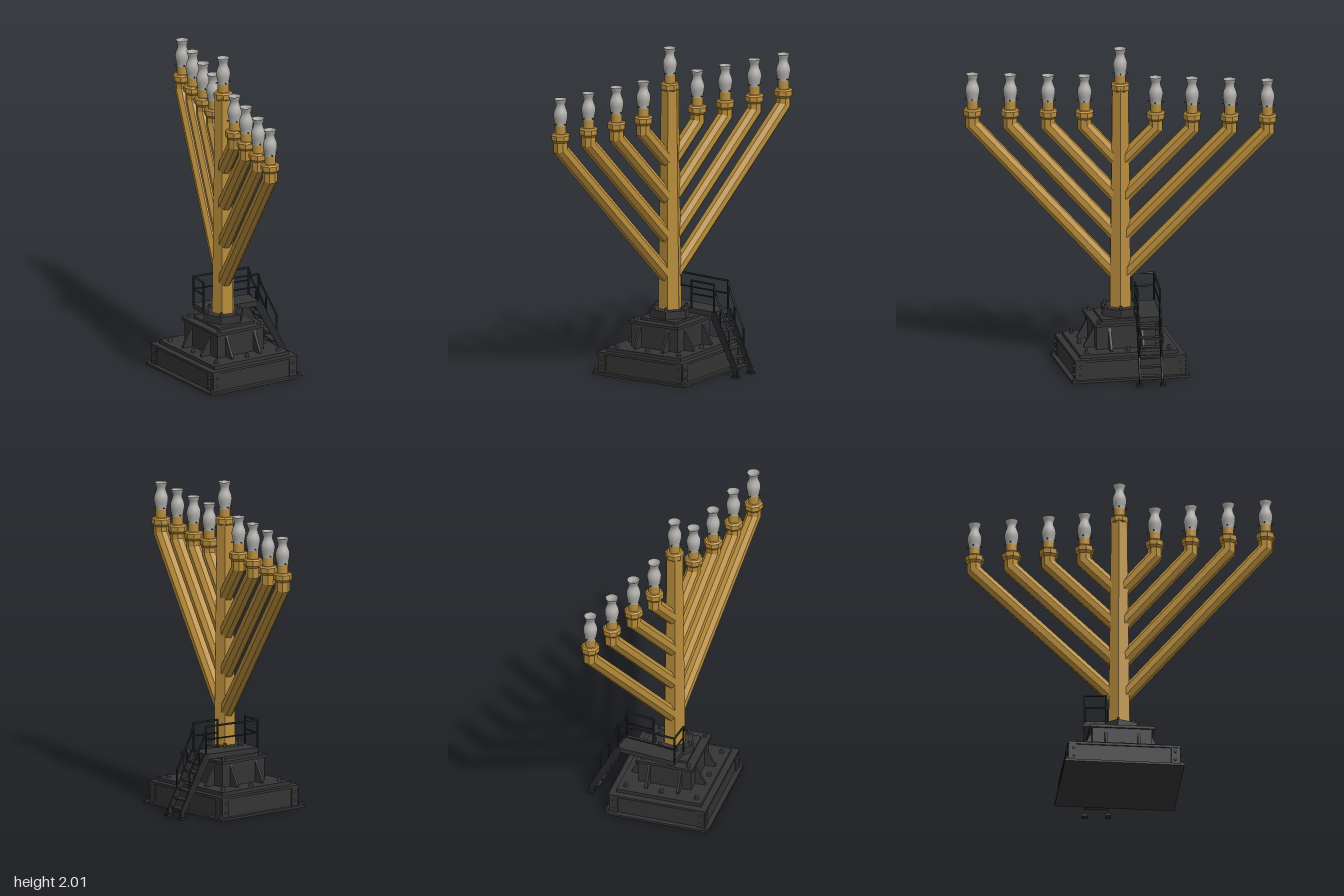
import * as THREE from 'three';

const mat = (name, color, side = THREE.FrontSide) => {
  const m = new THREE.MeshStandardMaterial({ color, side });
  m.name = name;
  return m;
};
const GOLD = mat('gold', 0xb98d3c);
const STEEL = mat('dark steel', 0x343434);
const RAIL = mat('black rail', 0x26282a);
const BOLT = mat('bolt grey', 0x4e4e4e);
const GLASS = mat('frosted glass', 0xb0afab, THREE.DoubleSide);
const BULB = mat('bulb white', 0xd2d1cc);

const V = (x, y, z) => new THREE.Vector3(x, y, z);

// Gives a geometry hard facets
function facet(geo) {
  const g = geo.index ? geo.toNonIndexed() : geo;
  g.computeVertexNormals();
  return g;
}
function add(parent, name, geo, material, x = 0, y = 0, z = 0) {
  const m = new THREE.Mesh(geo, material);
  m.name = name;
  m.position.set(x, y, z);
  parent.add(m);
  return m;
}
function group(parent, name, x = 0, y = 0, z = 0, ry = 0) {
  const g = new THREE.Group();
  g.name = name;
  g.position.set(x, y, z);
  g.rotation.y = ry;
  parent.add(g);
  return g;
}
const box = (p, name, m, w, y0, y1, d, x = 0, z = 0) =>
  add(p, name, new THREE.BoxGeometry(w, y1 - y0, d), m, x, (y0 + y1) / 2, z);
// Round bar between two points
function bar(p, name, a, b, r, m = RAIL) {
  const mesh = add(p, name, new THREE.CylinderGeometry(r, r, a.distanceTo(b), 6), m);
  mesh.position.copy(a).add(b).multiplyScalar(0.5);
  mesh.quaternion.setFromUnitVectors(V(0, 1, 0), b.clone().sub(a).normalize());
}
const lathe = (pts, n, start = 0) =>
  new THREE.LatheGeometry(pts.map(([x, y]) => new THREE.Vector2(x, y)), n, start);

// Hex bolt with washer, standing on y
function bolt(p, x, y, z, s = 1) {
  add(p, 'washer', new THREE.CylinderGeometry(0.016 * s, 0.016 * s, 0.006, 10), BOLT, x, y + 0.003, z);
  add(p, 'bolt', facet(new THREE.CylinderGeometry(0.01 * s, 0.01 * s, 0.024 * s, 6)), BOLT, x, y + 0.012 * s, z);
}

// Collar, neck and glass chimney, standing on the tube end
function lamp(parent, x, y, z, ry) {
  const g = group(parent, 'lamp', x, y, z, ry);
  add(g, 'collar', facet(lathe([[0, -0.015], [0.046, -0.015], [0.058, 0], [0.058, 0.03], [0.048, 0.04], [0, 0.04]],
    8, Math.PI / 8)), GOLD);
  add(g, 'neck', new THREE.CylinderGeometry(0.034, 0.034, 0.07, 16), GOLD, 0, 0.065, 0);
  const profile = new THREE.SplineCurve([[0.034, 0.09], [0.036, 0.108], [0.043, 0.145], [0.041, 0.172],
    [0.03, 0.202], [0.028, 0.222], [0.034, 0.24], [0.039, 0.255]].map(([r, h]) => new THREE.Vector2(r, h)));
  add(g, 'glass', new THREE.LatheGeometry(profile.getPoints(20), 20), GLASS);
  add(g, 'bulb', new THREE.CylinderGeometry(0.027, 0.027, 0.11, 16), BULB, 0, 0.155, 0);
  for (let i = 0; i < 4; i++) {
    const a = i * Math.PI / 2;
    const s = add(g, 'screw', new THREE.CylinderGeometry(0.004, 0.004, 0.02, 6), BOLT,
      Math.sin(a) * 0.039, 0.1, Math.cos(a) * 0.039);
    s.rotation.set(Math.PI / 2, a, 0, 'YXZ');
  }
}

// Eight-sided tube: rises at a slant from the pole, mitred to vertical at the elbow
function branchGeo(reach) {
  const slope = 1.065, t = Math.atan(1 / slope), elbowY = 1.515, r = 0.0455;
  const rings = [
    [0, elbowY - slope * reach, Math.cos(t), -Math.sin(t)],
    [reach, elbowY, 1, -Math.tan(t / 2)],
    [reach, 1.575, 1, 0]];
  const geo = new THREE.CylinderGeometry(r, r, 2, 8, 2, false, Math.PI / 8);
  const p = geo.attributes.position;
  for (let i = 0; i < p.count; i++) {
    const [cz, cy, nz, ny] = rings[Math.round(p.getY(i)) + 1];
    const v = p.getZ(i);
    p.setXYZ(i, p.getX(i), cy + ny * v, cz + nz * v);
  }
  return facet(geo);
}

function buildBase(parent) {
  const g = group(parent, 'base', -0.035, 0, 0, 0.218);
  box(g, 'groundPlate', STEEL, 0.66, 0, 0.014, 0.73);
  box(g, 'lowerTier', STEEL, 0.6, 0.014, 0.125, 0.67);
  box(g, 'lowerTierLid', STEEL, 0.62, 0.125, 0.14, 0.69);
  box(g, 'lowerTierStep', STEEL, 0.54, 0.14, 0.162, 0.61);
  box(g, 'upperTier', STEEL, 0.335, 0.162, 0.305, 0.365);
  box(g, 'upperTierLid', STEEL, 0.36, 0.305, 0.322, 0.395);
  box(g, 'upperTierStep', STEEL, 0.26, 0.322, 0.337, 0.28);

  // Triangular ribs around the upper tier
  const tri = new THREE.Shape([[0, 0], [0.065, 0], [0.065, 0.015], [0, 0.13]].map(([x, y]) => new THREE.Vector2(x, y)));
  const ribGeo = new THREE.ExtrudeGeometry(tri, { depth: 0.016, bevelEnabled: false }).translate(0, 0, -0.008);
  for (let side = 0; side < 4; side++) {
    const across = side % 2 ? 0.1825 : 0.1675;
    const s = group(g, 'ribs', 0, 0, 0, side * Math.PI / 2);
    for (const z of [-0.1, 0.1]) add(s, 'rib', ribGeo, STEEL, across, 0.162, z);
    // Bolt heads and corner straps on the lower tier walls
    const wall = side % 2 ? 0.335 : 0.3, half = side % 2 ? 0.3 : 0.335;
    for (const e of [-1, 1]) {
      box(s, 'cornerStrap', STEEL, 0.008, 0.014, 0.125, 0.05, wall + 0.003, e * (half - 0.025));
      for (const y of [0.045, 0.098]) {
        const b = add(s, 'wallBolt', facet(new THREE.CylinderGeometry(0.008, 0.008, 0.014, 6)), BOLT,
          wall + 0.01, y, e * (half - 0.025));
        b.rotation.z = -Math.PI / 2;
      }
    }
  }
  // Bolts on the steps
  for (const sx of [-1, 0, 1]) for (const sz of [-1, 0, 1]) {
    if (!sx && !sz) continue;
    bolt(g, sx * 0.225, 0.162, sz * 0.255);
    if (sx && sz) {
      bolt(g, sx * 0.145, 0.322, sz * 0.165, 0.9);
      bolt(g, sx * 0.314, 0.014, sz * 0.349, 0.8);
    }
  }
}

function buildStairs(parent) {
  const g = group(parent, 'stairs', 0, 0, -0.152, 0.105);
  const x0 = -0.15, x1 = 0.225, foot = 0.4, w = 0.068;
  box(g, 'platform', STEEL, x1 - x0, 0.352, 0.384, 0.145, (x0 + x1) / 2, 0);
  const rise = new THREE.Shape([[x1 - 0.02, 0.384], [x1 + 0.015, 0.384], [foot + 0.01, 0.05], [foot + 0.01, 0],
    [foot - 0.02, 0], [foot - 0.02, 0.035], [x1 - 0.02, 0.34]].map(([x, y]) => new THREE.Vector2(x, y)));
  const side = new THREE.ExtrudeGeometry(rise, { depth: 0.01, bevelEnabled: false }).translate(0, 0, -0.005);
  for (const s of [-1, 1]) {
    add(g, 'stringer', side, RAIL, 0, 0, s * w);
    box(g, 'foot', RAIL, 0.045, 0, 0.014, 0.034, foot, s * (w + 0.004));
    // Sloping handrail
    const pts = [V(x1, 0.545, s * w), V(x1 + 0.02, 0.48, s * w), V(0.345, 0.28, s * w), V(0.345, 0.14, s * w)];
    for (let i = 0; i < 3; i++) bar(g, 'handrail', pts[i], pts[i + 1], 0.006);
    bar(g, 'handrailPost', V(0.275, 0.4, s * w), V(0.275, 0.26, s * w), 0.005);
  }
  for (let i = 1; i <= 6; i++) {
    const t = i / 7;
    box(g, 'tread', STEEL, 0.042, 0.375 * (1 - t) - 0.005, 0.375 * (1 - t) + 0.005, 2 * w,
      x1 + (foot - x1) * t - 0.005, 0);
  }
  // Platform guard rails: back side, closed end, short front side
  const runs = [[V(x0, 0, -w), V(x1, 0, -w)], [V(x0, 0, -w), V(x0, 0, w)], [V(0.05, 0, w), V(x1, 0, w)]];
  for (const [a, b] of runs) {
    for (const y of [0.475, 0.555]) {
      bar(g, 'guardRail', a.clone().setY(y), b.clone().setY(y), y > 0.5 ? 0.0065 : 0.005);
    }
    for (const p of [a, b]) bar(g, 'guardPost', p.clone().setY(0.37), p.clone().setY(0.558), 0.006);
  }
}

export function createModel() {
  const model = new THREE.Group();
  model.name = 'branchedLampStand';
  buildBase(model);
  buildStairs(model);

  // Pole on its bolted hexagonal flange; corners point to +x and -x
  const stand = group(model, 'stand', -0.04, 0, 0, 0.05);
  const hex = (rt, rb, h) => facet(new THREE.CylinderGeometry(rt, rb, h, 6, 1, false, Math.PI / 6));
  add(stand, 'flange', hex(0.13, 0.13, 0.05), STEEL, 0, 0.36, 0);
  for (let i = 0; i < 6; i++) {
    const a = i * Math.PI / 3;
    bolt(stand, Math.cos(a) * 0.105, 0.384, Math.sin(a) * 0.105, 0.9);
  }
  add(stand, 'pole', hex(0.056, 0.074, 1.39), GOLD, 0, 1.07, 0);
  lamp(stand, 0, 1.75, 0, 0);

  // Four branches on each side
  for (const [name, angle] of [['frontBranches', -0.04], ['backBranches', Math.PI - 0.082]]) {
    const arm = group(model, name, -0.04, 0, 0, angle);
    for (const reach of [0.217, 0.438, 0.668, 0.897]) {
      add(arm, 'branch', branchGeo(reach), GOLD);
      lamp(arm, 0, 1.575, reach, 0);
    }
  }
  return model;
}
